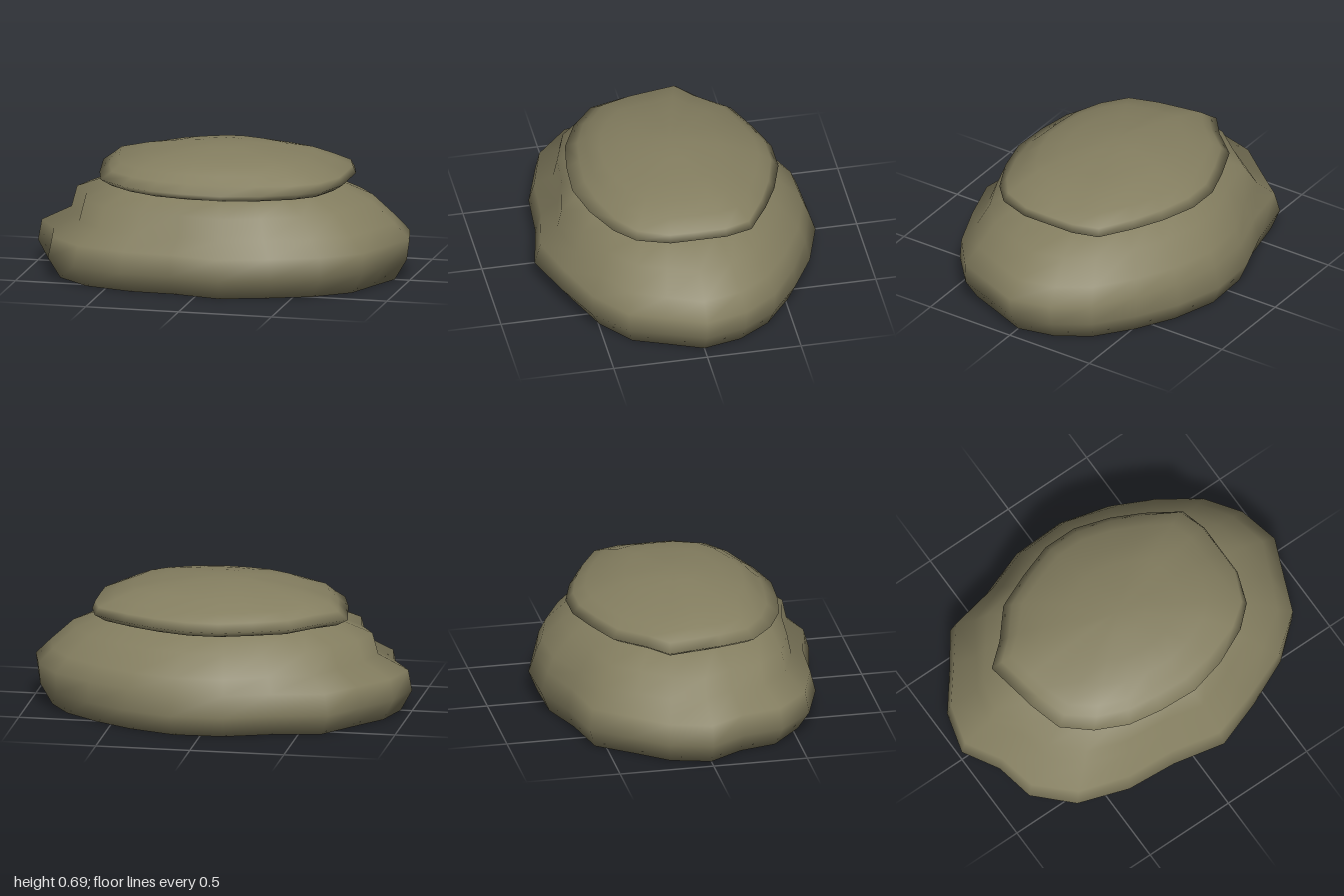
import * as THREE from 'three';

// Plan outlines as [x, z], counterclockwise seen from above
const lowerOutline = [
  [1, 0], [0.95, -0.22], [0.83, -0.4], [0.63, -0.55], [0.41, -0.67], [0.15, -0.75],
  [-0.13, -0.74], [-0.38, -0.65], [-0.66, -0.59], [-0.8, -0.4], [-0.94, -0.22], [-1, 0],
  [-0.89, 0.19], [-0.85, 0.4], [-0.67, 0.58], [-0.4, 0.67], [-0.13, 0.69], [0.15, 0.75],
  [0.41, 0.66], [0.66, 0.55], [0.85, 0.39], [0.92, 0.2],
];
const upperOutline = [
  [0.67, 0], [0.67, -0.17], [0.63, -0.31], [0.46, -0.42], [0.3, -0.5], [0.11, -0.56],
  [-0.07, -0.56], [-0.25, -0.5], [-0.44, -0.42], [-0.57, -0.27], [-0.69, -0.17], [-0.66, 0],
  [-0.64, 0.12], [-0.59, 0.3], [-0.45, 0.42], [-0.28, 0.5], [-0.1, 0.53], [0.11, 0.54],
  [0.31, 0.49], [0.5, 0.4], [0.61, 0.3], [0.67, 0.13],
];

// Rings as [height, scale toward +x, -x, +z, -z]
const lowerRings = [
  [0, 0.92, 0.94, 0.88, 0.94],
  [0.11, 0.985, 1, 1, 1],
  [0.22, 1, 0.98, 0.955, 0.95],
  [0.3, 0.92, 0.82, 0.83, 0.91],
  [0.41, 0.8, 0.79, 0.8, 0.77],
  [0.485, 0.62, 0.59, 0.67, 0.61],
  [0.52, 0.4, 0.4, 0.42, 0.4],
];
const upperRings = [
  [0.485, 0.92, 0.91, 0.92, 0.89],
  [0.52, 1, 1, 1, 1],
  [0.56, 0.98, 0.92, 0.87, 0.93],
  [0.6, 0.84, 0.85, 0.79, 0.82],
  [0.64, 0.7, 0.63, 0.67, 0.6],
  [0.665, 0.48, 0.42, 0.45, 0.46],
  [0.684, 0.22, 0.2, 0.22, 0.22],
];

// Closed stone: rings of the outline, scaled by direction, capped at both ends
function stone(name, outline, rings, topY, material) {
  const n = outline.length;
  const positions = [];
  const index = [];
  for (const [y, right, left, front, back] of rings) {
    for (const [x, z] of outline) {
      const c2 = (x * x) / (x * x + z * z);
      const s = c2 * (x > 0 ? right : left) + (1 - c2) * (z > 0 ? front : back);
      positions.push(x * s, y, z * s);
    }
  }
  const bottom = rings.length * n;
  const top = bottom + 1;
  positions.push(0, rings[0][0], 0, 0, topY, 0);
  const last = (rings.length - 1) * n;
  for (let i = 0; i < n; i++) {
    const k = (i + 1) % n;
    for (let j = 0; j < last; j += n) {
      index.push(j + i, j + k, j + n + k, j + i, j + n + k, j + n + i);
    }
    index.push(k, i, bottom, last + i, last + k, top);
  }
  const geometry = new THREE.BufferGeometry();
  geometry.setAttribute('position', new THREE.Float32BufferAttribute(positions, 3));
  geometry.setIndex(index);
  geometry.computeVertexNormals();
  const mesh = new THREE.Mesh(geometry, material);
  mesh.name = name;
  return mesh;
}

export function createModel() {
  const rock = new THREE.MeshStandardMaterial({ color: 0x847e60 });
  rock.name = 'olive stone';
  const group = new THREE.Group();
  group.name = 'stackedStones';
  group.add(
    stone('lowerStone', lowerOutline, lowerRings, 0.53, rock),
    stone('upperStone', upperOutline, upperRings, 0.69, rock),
  );
  return group;
}
